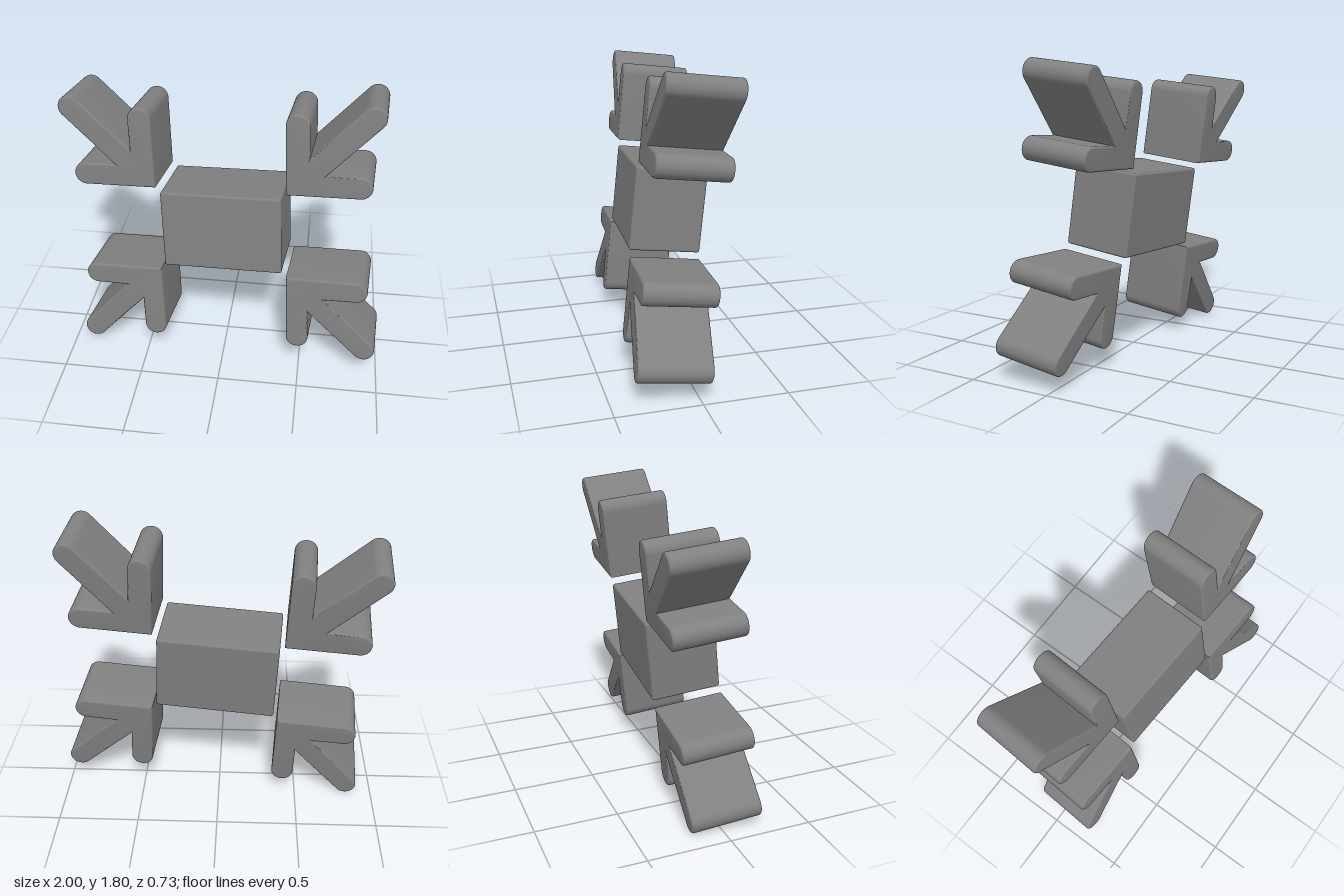
import * as THREE from 'three';
import { RoundedBoxGeometry } from 'three/addons/geometries/RoundedBoxGeometry.js';
import { toCreasedNormals } from 'three/addons/utils/BufferGeometryUtils.js';

const DEPTH = 0.427;

// Three-armed arrow with its sharp corner at the origin, arms along +x, +y and the diagonal
function arrowGeometry() {
  const r = 0.069, arm = 0.5 - r, tip = 0.489, bevel = 0.014;
  const notch = r * (2 + Math.SQRT2);
  const s = new THREE.Shape();
  s.moveTo(0, 0);
  s.lineTo(arm, 0);
  s.absarc(arm, r, r, -Math.PI / 2, Math.PI / 2, false);
  s.lineTo(notch, 2 * r);
  s.absarc(tip, tip, r, -Math.PI / 4, Math.PI * 0.75, false);
  s.lineTo(2 * r, notch);
  s.absarc(r, arm, r, 0, Math.PI, false);
  s.closePath();
  const geo = new THREE.ExtrudeGeometry(s, {
    depth: DEPTH - 2 * bevel,
    curveSegments: 32,
    bevelSize: bevel,
    bevelThickness: bevel,
    bevelOffset: -bevel,
    bevelSegments: 8,
  });
  geo.translate(0, 0, bevel - DEPTH / 2);
  // Small crease angle keeps the broad faces flat while the arm ends stay smooth
  return toCreasedNormals(geo, 0.15);
}

export function createModel() {
  const model = new THREE.Group();
  model.name = 'tiltedAssembly';
  const material = new THREE.MeshStandardMaterial({ color: 0x808080 });

  // Central block
  const block = new THREE.Mesh(new RoundedBoxGeometry(0.737, 0.502, DEPTH, 3, 0.014), material);
  block.name = 'centreBlock';
  model.add(block);

  // One arrow off each corner, pointing at the block
  const geo = arrowGeometry();
  const corners = [
    ['upperLeftArrow', 1, 1],
    ['upperRightArrow', -1, 1],
    ['lowerRightArrow', -1, -1],
    ['lowerLeftArrow', 1, -1],
  ];
  corners.forEach(([name, sx, sy], i) => {
    const arrow = new THREE.Mesh(geo, material);
    arrow.name = name;
    arrow.position.set(sx * 0.395, sy * 0.281, 0);
    arrow.rotation.z = i * Math.PI / 2;
    model.add(arrow);
  });

  // Slight tilt of the whole assembly
  const w = new THREE.Vector3(-0.074, 0.107, 0.99).normalize();
  const u = new THREE.Vector3(0.995, 0.055, 0.075);
  u.addScaledVector(w, -u.dot(w)).normalize();
  const v = new THREE.Vector3().crossVectors(w, u);
  model.quaternion.setFromRotationMatrix(new THREE.Matrix4().makeBasis(u, v, w));
  model.position.y = 0.9;

  const root = new THREE.Group();
  root.name = 'arrowsAroundBlock';
  root.add(model);
  return root;
}
